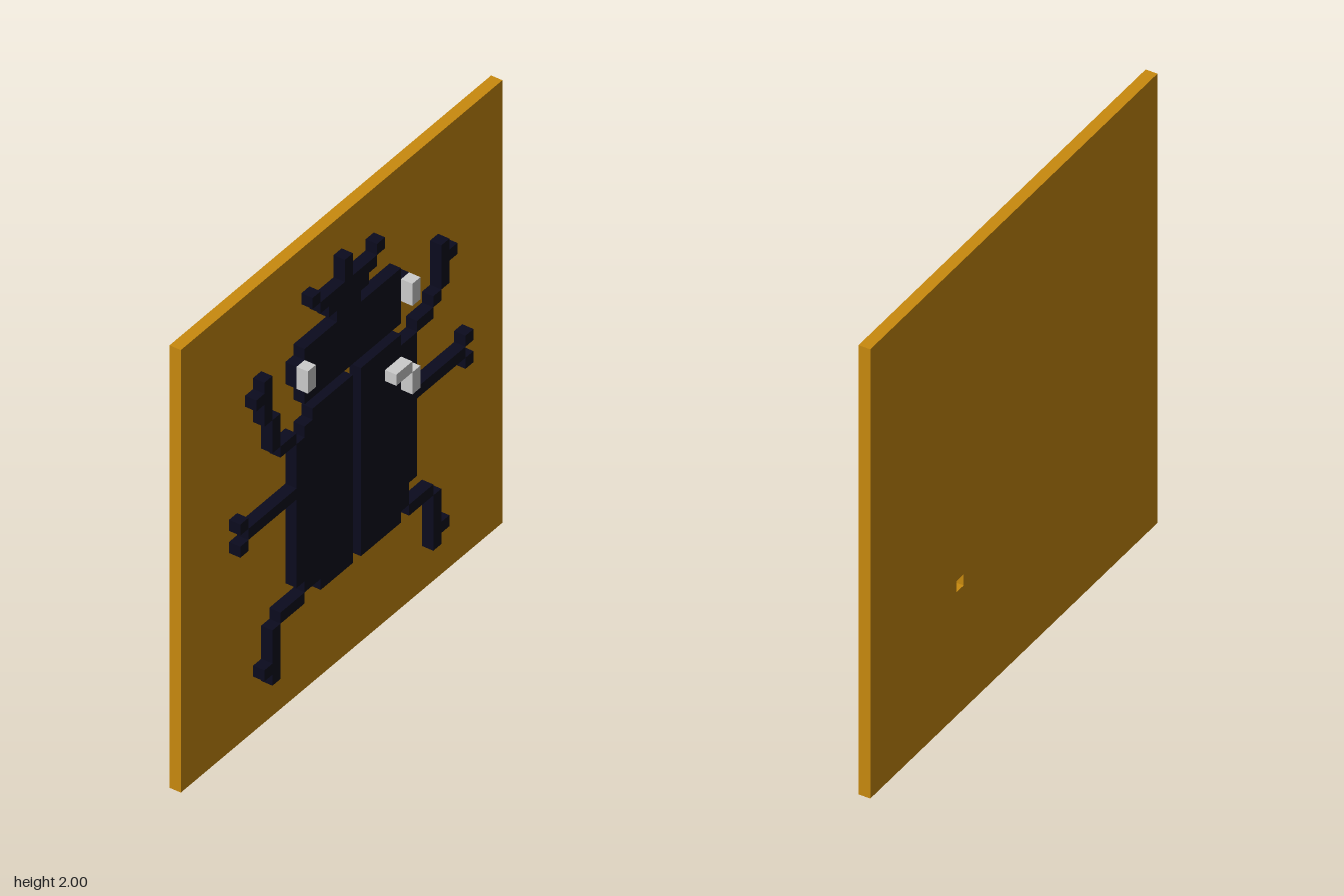
import * as THREE from 'three';

const U = 0.05; // one grid cell

const gold = new THREE.MeshStandardMaterial({ name: 'gold', color: 0xc98a0e });
const navy = new THREE.MeshStandardMaterial({ name: 'darkNavy', color: 0x0b0b1e });
const silver = new THREE.MeshStandardMaterial({ name: 'lightGrey', color: 0xcccccc });

// Layers, one cell deep each: back face z
const PLATE = -1.5 * U, BEETLE = -0.5 * U, SHINE = 0.5 * U;

// Extrude an outline given in grid cells, counter-clockwise
function slab(name, outline, z, material, hole) {
  const toPoints = pts => pts.map(([x, y]) => new THREE.Vector2(x * U, y * U));
  const shape = new THREE.Shape(toPoints(outline));
  if (hole) shape.holes.push(new THREE.Path(toPoints(hole)));
  const geometry = new THREE.ExtrudeGeometry(shape, { depth: U, bevelEnabled: false });
  geometry.translate(0, 0, z);
  const mesh = new THREE.Mesh(geometry, material);
  mesh.name = name;
  return mesh;
}

const rect = (x0, y0, x1, y1) => [[x0, y0], [x1, y0], [x1, y1], [x0, y1]];

// A group of rectangular blocks, each [x0, y0, x1, y1] in cells
function blocks(name, rects, z, material) {
  const group = new THREE.Group();
  group.name = name;
  rects.forEach((r, i) => group.add(slab(name + (i + 1), rect(...r), z, material)));
  return group;
}

export function createModel() {
  const model = new THREE.Group();
  model.name = 'beetlePlaque';

  // Backing plate with a small square hole
  model.add(slab('backPlate', rect(-20, 0, 20, 40), PLATE, gold, rect(7, 11, 8, 12)));

  // Head with side bumps behind the eyes
  model.add(slab('head', [
    [-6, 27], [6, 27], [6, 29], [7, 29], [7, 31], [6, 31], [6, 32],
    [-6, 32], [-6, 31], [-7, 31], [-7, 29], [-6, 29],
  ], BEETLE, navy));

  // Stepped horn and its two tips
  model.add(slab('horn', [
    [-2, 32], [1, 32], [1, 33], [2, 33], [2, 34], [3, 34], [3, 35], [0, 35], [0, 37],
    [-1, 37], [-1, 35], [-4, 35], [-4, 34], [-3, 34], [-3, 33], [-2, 33],
  ], BEETLE, navy));
  model.add(blocks('hornTips', [[-5, 35, -4, 36], [3, 35, 4, 36]], BEETLE, navy));

  // Wing cases
  model.add(slab('rightWingCase', [
    [0, 9], [0, 26], [-5, 26], [-5, 25], [-6, 25], [-6, 24], [-7, 24],
    [-7, 11], [-6, 11], [-6, 10], [-4, 10], [-4, 9],
  ], BEETLE, navy));
  model.add(slab('leftWingCase', [
    [1, 9], [6, 9], [6, 10], [7, 10], [7, 12], [8, 12], [8, 25], [6, 25], [6, 26], [1, 26],
  ], BEETLE, navy));

  // Front legs
  model.add(blocks('rightFrontLeg', [
    [-9, 24, -7, 25], [-10, 25, -9, 28], [-11, 28, -10, 32], [-12, 30, -11, 31],
  ], BEETLE, navy));
  model.add(blocks('leftFrontLeg', [
    [8, 25, 10, 26], [10, 26, 11, 27], [11, 27, 12, 31], [12, 29, 13, 30],
  ], BEETLE, navy));

  // Middle and hind legs, mirrored about the line between the wing cases (x = half a cell)
  const mirror = rects => rects.map(([x0, y0, x1, y1]) => [1 - x1, y0, 1 - x0, y1]);
  const middle = [[8, 19, 14, 20], [14, 20, 15, 21], [14, 18, 15, 19]];
  const hind = [[7, 9, 10, 10], [10, 4, 11, 9], [11, 5, 12, 6]];
  model.add(blocks('leftMiddleLeg', middle, BEETLE, navy));
  model.add(blocks('rightMiddleLeg', mirror(middle), BEETLE, navy));
  model.add(blocks('leftHindLeg', hind, BEETLE, navy));
  model.add(blocks('rightHindLeg', mirror(hind), BEETLE, navy));

  // Raised eyes and the shine on the left wing case
  model.add(blocks('eyes', [[-7, 29, -6, 31], [6, 29, 7, 31]], SHINE, silver));
  model.add(blocks('wingShine', [[4, 23, 6, 24], [6, 21, 7, 23]], SHINE, silver));

  // Centre the three layers on z = 0
  return model;
}
